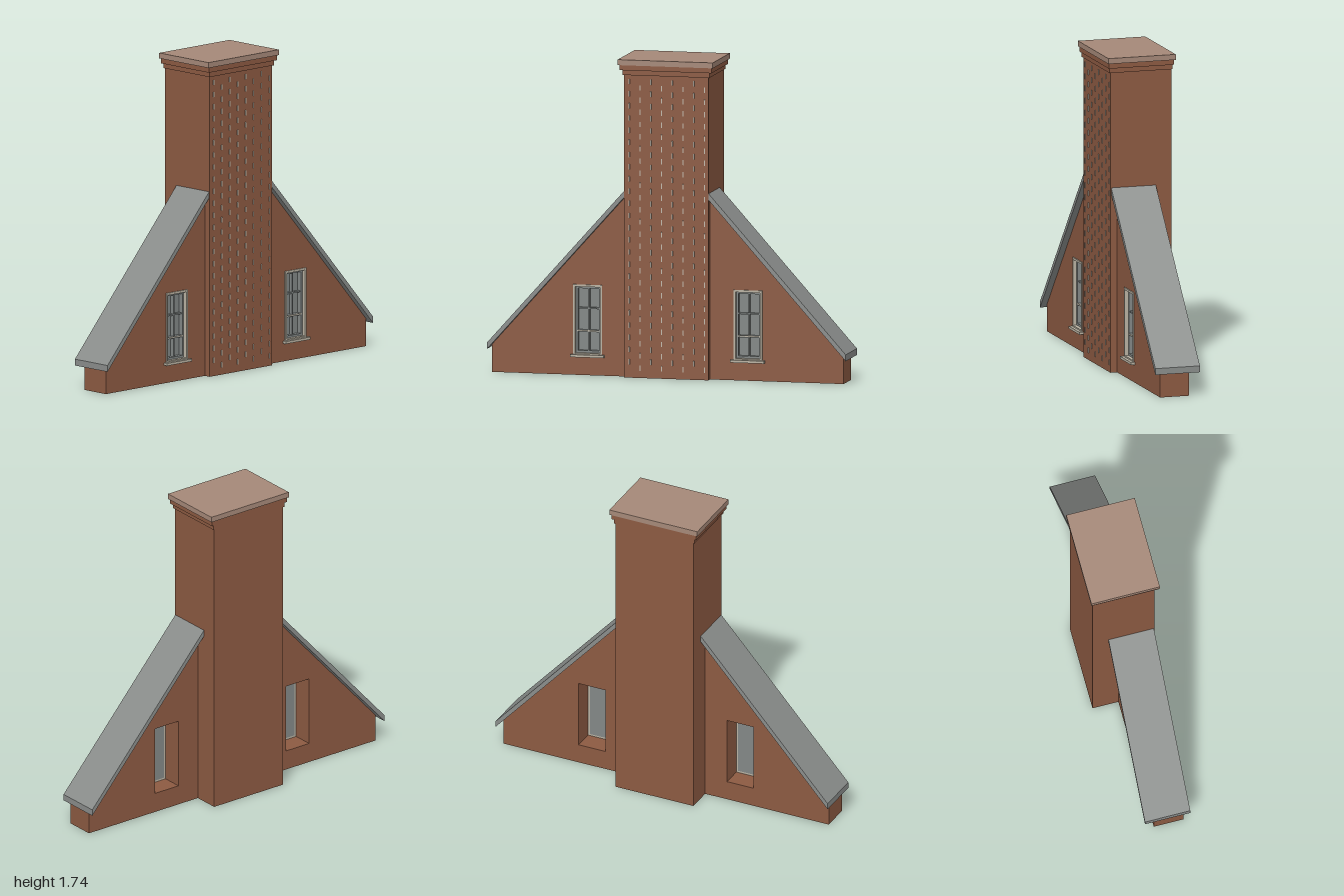
import * as THREE from 'three';

const material = (name, color) => {
  const m = new THREE.MeshStandardMaterial({ color });
  m.name = name;
  return m;
};

export function createModel() {
  const brick = material('brick', 0x8c5a42);
  const stone = material('cap stone', 0xa58878);
  const slate = material('slate', 0x8a8d8b);
  const paint = material('window paint', 0xb9b2a2);
  const pane = material('pane grey', 0x828786);
  const mortar = material('mortar', 0xc0b8aa);

  const model = new THREE.Group();
  model.name = 'gableChimney';

  // Box given by its lower and upper bounds on each axis
  const box = (parent, name, mat, x0, x1, y0, y1, z0, z1) => {
    const mesh = new THREE.Mesh(new THREE.BoxGeometry(x1 - x0, y1 - y0, z1 - z0), mat);
    mesh.position.set((x0 + x1) / 2, (y0 + y1) / 2, (z0 + z1) / 2);
    mesh.name = name;
    parent.add(mesh);
    return mesh;
  };

  const polygon = (points) => new THREE.Shape(points.map(([x, y]) => new THREE.Vector2(x, y)));
  const rect = (x0, x1, y0, y1) => polygon([[x0, y0], [x1, y0], [x1, y1], [x0, y1]]);

  // Outline in the xy plane, extruded between two depths
  const slab = (parent, name, mat, shape, z0, z1) => {
    const geometry = new THREE.ExtrudeGeometry(shape, { depth: z1 - z0, bevelEnabled: false });
    geometry.translate(0, 0, z0);
    const mesh = new THREE.Mesh(geometry, mat);
    mesh.name = name;
    parent.add(mesh);
  };

  // Chimney shaft, corbelled courses and cap
  box(model, 'chimneyShaft', brick, -0.235, 0.235, 0, 1.655, -0.18, 0.168);
  box(model, 'lowerCorbel', brick, -0.243, 0.243, 1.655, 1.682, -0.183, 0.176);
  box(model, 'upperCorbel', brick, -0.256, 0.256, 1.682, 1.71, -0.188, 0.184);
  box(model, 'chimneyCap', stone, -0.265, 0.265, 1.71, 1.74, -0.194, 0.19);

  // Upright mortar joints in running bond on the chimney front
  const joints = new THREE.Group();
  joints.name = 'mortarJoints';
  model.add(joints);
  const course = 0.0333;
  for (let column = 0; column < 8; column++) {
    const x = -0.206 + column * 0.06;
    for (let row = column % 2 ? 0 : 1; row < 48; row += 2) {
      const y = 0.04 + row * course;
      box(joints, 'mortarJoint', mortar, x - 0.003, x + 0.003, y, y + 0.029, 0.167, 0.172);
    }
  }

  for (const side of [-1, 1]) {
    const wing = new THREE.Group();
    wing.name = side > 0 ? 'leftWing' : 'rightWing';
    model.add(wing);

    // Mirror an outline while keeping its winding
    const mirrored = (points) => polygon(side > 0 ? points : points.map(([x, y]) => [-x, y]).reverse());

    // Sloping gable wall with a window opening
    const cx = side * 0.447;
    const wall = mirrored([[0.23, 0], [0.98, 0], [0.98, 0.152], [0.23, 0.99]]);
    wall.holes.push(rect(cx - 0.08, cx + 0.08, 0.11, 0.495));
    slab(wing, 'gableWall', brick, wall, -0.035, 0.13);

    // Roof strip along the slope
    const roof = mirrored([[0.235, 0.985], [1, 0.13], [1, 0.165], [0.235, 1.02]]);
    slab(wing, 'roofSlope', slate, roof, -0.09, 0.164);

    // Sash window with frame, sill, glazing bars and panes
    const win = new THREE.Group();
    win.name = 'window';
    win.position.x = cx;
    wing.add(win);
    const frame = rect(-0.08, 0.08, 0.11, 0.495);
    frame.holes.push(rect(-0.069, 0.069, 0.12, 0.483));
    slab(win, 'windowFrame', paint, frame, 0.08, 0.136);
    box(win, 'windowSill', paint, -0.094, 0.094, 0.099, 0.113, 0.1, 0.153);

    const sash = rect(-0.069, 0.069, 0.12, 0.483);
    sash.holes.push(rect(-0.058, 0.058, 0.132, 0.472));
    slab(win, 'sashFrame', pane, sash, 0.08, 0.114);
    box(win, 'panes', pane, -0.069, 0.069, 0.12, 0.483, 0.08, 0.088);
    box(win, 'verticalBar', pane, -0.004, 0.004, 0.125, 0.478, 0.085, 0.108);
    box(win, 'upperBar', pane, -0.062, 0.062, 0.359, 0.367, 0.085, 0.108);
    box(win, 'meetingRail', pane, -0.062, 0.062, 0.234, 0.244, 0.085, 0.114);
    box(win, 'meetingRailTrim', paint, -0.062, 0.062, 0.238, 0.244, 0.11, 0.116);
  }

  return model;
}
